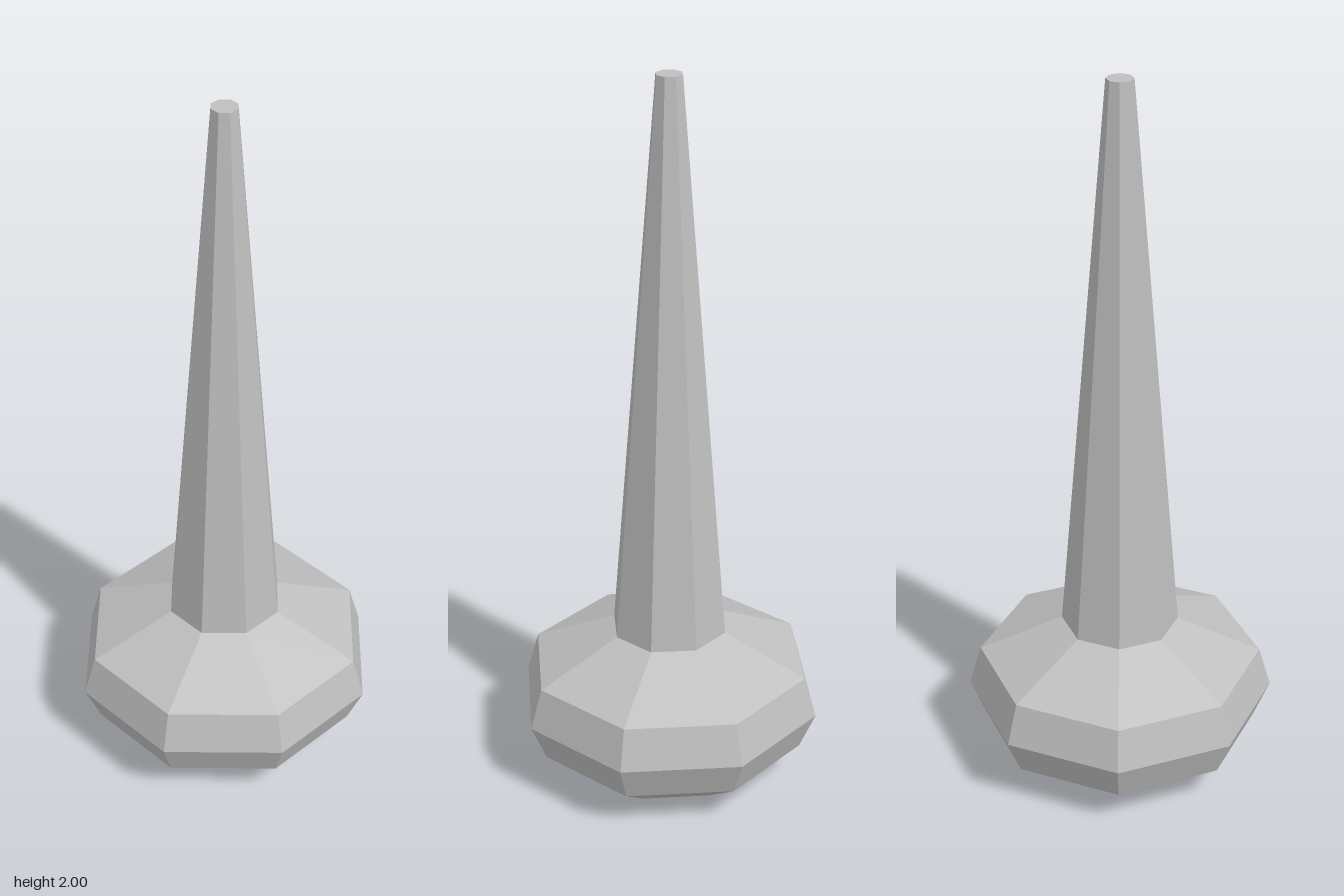
import * as THREE from 'three';

const SIDES = 8;

export function createModel() {
  const group = new THREE.Group();
  const grey = new THREE.MeshStandardMaterial({ color: 0xbfbfbf, flatShading: true });
  grey.name = 'grey';

  // Faceted shape turned around the vertical axis from [radius, height] pairs
  const addTurned = (name, profile) => {
    const points = profile.map(([r, y]) => new THREE.Vector2(r, y));
    const mesh = new THREE.Mesh(new THREE.LatheGeometry(points, SIDES), grey);
    mesh.name = name;
    group.add(mesh);
  };

  // Squat bulb with a flat underside and sloping shoulder
  addTurned('bulb', [
    [0, 0], [0.235, 0], [0.382, 0.105], [0.426, 0.21], [0.393, 0.325], [0.162, 0.43],
  ]);

  // Tall tapering spire with a small flat top
  addTurned('spire', [[0.162, 0.43], [0.036, 2], [0, 2]]);

  return group;
}
